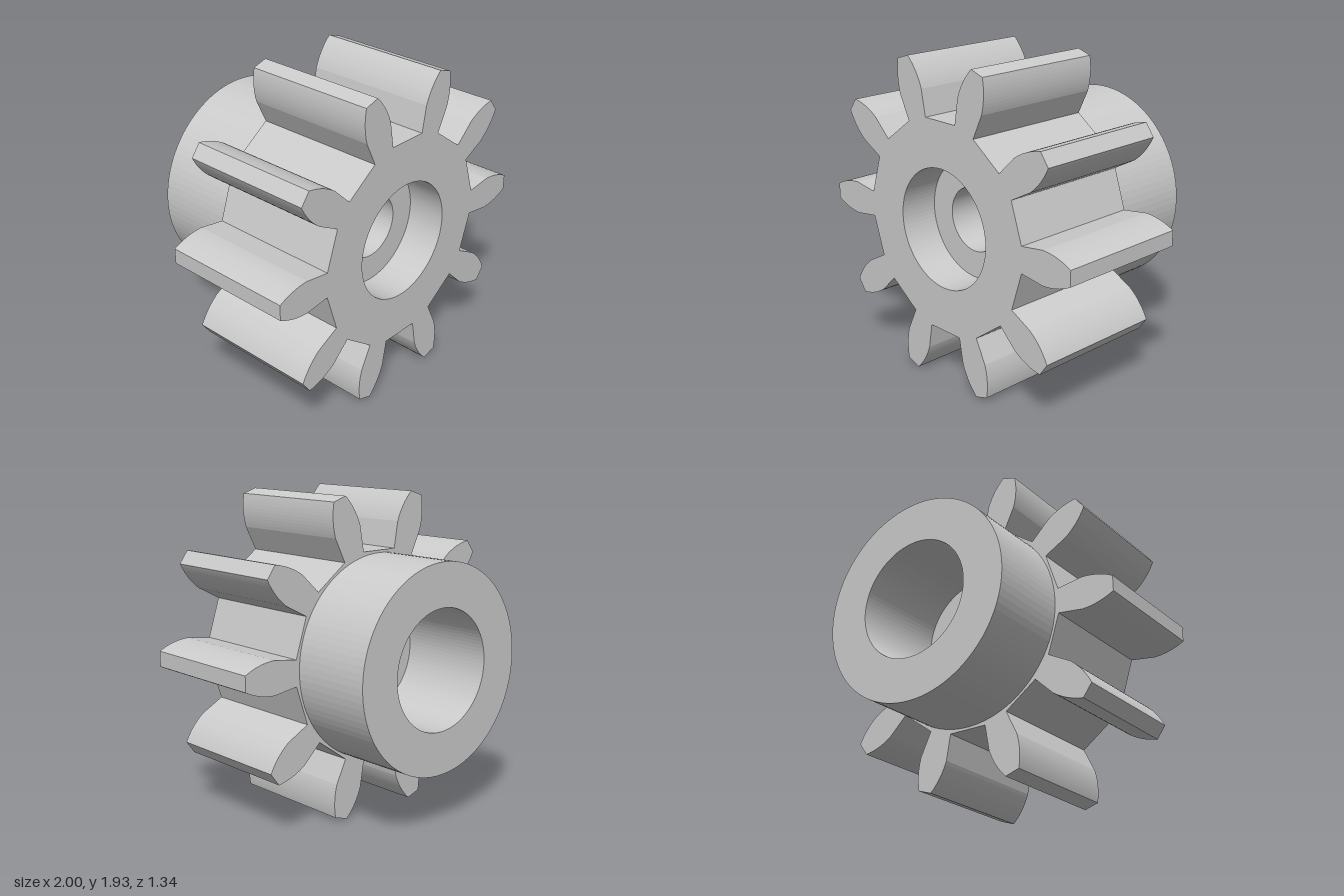
import * as THREE from 'three';

const CENTER_Y = 0.967, TEETH = 10, SEGMENTS = 48;
const COUNTERBORE = 0.36, BORE = 0.195, HUB = 0.62;
const BACK = -0.67, GEAR_BACK = -0.155, WEB_BACK = -0.065, WEB_FRONT = 0.43, FRONT = 0.67;

// One tooth pointing along +x: straight root flank, then a curved crown to a flat tip
function toothProfile() {
  const crown = new THREE.QuadraticBezierCurve(
    new THREE.Vector2(0.8, 0.1), new THREE.Vector2(0.905, 0.098), new THREE.Vector2(0.999, 0.047));
  const upper = [new THREE.Vector2(0.642, 0.078), ...crown.getPoints(10)];
  const lower = upper.map((p) => new THREE.Vector2(p.x, -p.y));
  return [...lower, ...upper.reverse()];
}

// Teeth repeated around the axis, joined by flat valleys
function gearShape() {
  const points = [];
  for (let i = 0; i < TEETH; i++) {
    const angle = (i / TEETH) * Math.PI * 2;
    for (const p of toothProfile()) points.push(p.rotateAround(new THREE.Vector2(), angle));
  }
  return new THREE.Shape(points);
}

function discShape(radius) {
  return new THREE.Shape().absarc(0, 0, radius, 0, Math.PI * 2, false);
}

export function createModel() {
  const group = new THREE.Group();
  group.name = 'pinionGear';
  const material = new THREE.MeshStandardMaterial({ color: 0xcccccc });

  // Extrudes a shape with a round hole between two z positions
  function addRing(name, shape, holeRadius, z0, z1) {
    shape.holes.push(new THREE.Path().absarc(0, 0, holeRadius, 0, Math.PI * 2, true));
    const geometry = new THREE.ExtrudeGeometry(shape, {
      depth: z1 - z0, bevelEnabled: false, curveSegments: SEGMENTS,
    });
    geometry.translate(0, CENTER_Y, z0);
    const mesh = new THREE.Mesh(geometry, material);
    mesh.name = name;
    group.add(mesh);
  }

  addRing('toothedWheel', gearShape(), COUNTERBORE, GEAR_BACK, FRONT);
  addRing('rearHub', discShape(HUB), COUNTERBORE, BACK, GEAR_BACK);
  // Web with the narrow shaft bore between the front and rear recesses
  addRing('boreWeb', discShape(COUNTERBORE), BORE, WEB_BACK, WEB_FRONT);

  return group;
}
